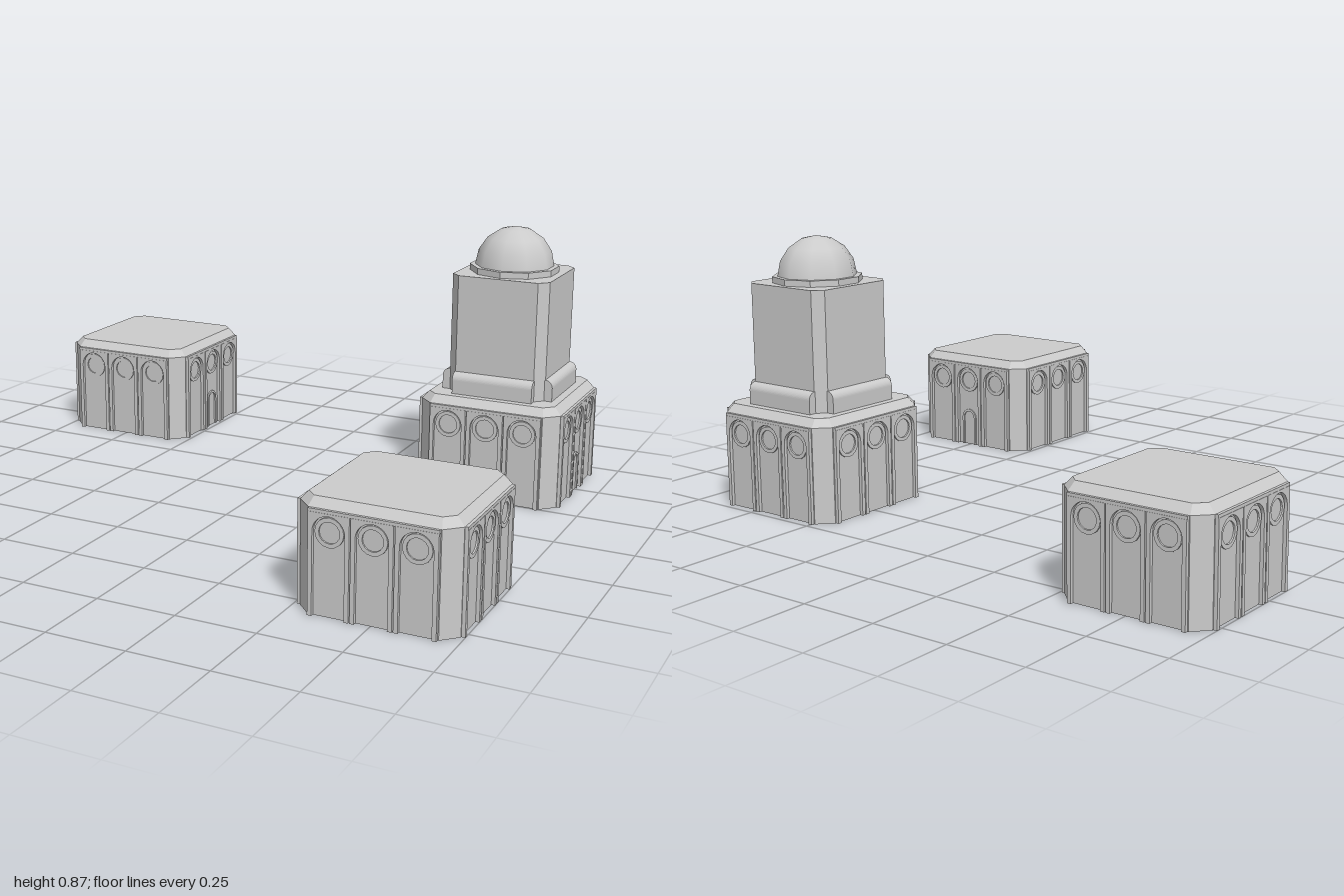
import * as THREE from 'three';
import { ConvexGeometry } from 'three/addons/geometries/ConvexGeometry.js';

const grey = new THREE.MeshStandardMaterial({ color: 0xcccccc });

function add(parent, name, geometry, x = 0, y = 0, z = 0) {
  const mesh = new THREE.Mesh(geometry, grey);
  mesh.name = name;
  mesh.position.set(x, y, z);
  parent.add(mesh);
  return mesh;
}

// Square block with cut corners; each level is [y, half width, corner cut]
function cutBlock(...levels) {
  const points = [];
  for (const [y, h, c] of levels)
    for (const sx of [-1, 1])
      for (const sz of [-1, 1])
        points.push(new THREE.Vector3(sx * h, y, sz * (h - c)), new THREE.Vector3(sx * (h - c), y, sz * h));
  return new ConvexGeometry(points);
}

// Upright frame around a round-headed opening that reaches the ground
function archFrame(halfOpen, spring, outline, depth) {
  const s = new THREE.Shape();
  outline(s);
  s.lineTo(halfOpen, 0);
  s.lineTo(halfOpen, spring);
  s.absarc(0, spring, halfOpen, 0, Math.PI, false);
  s.lineTo(-halfOpen, 0);
  s.closePath();
  return new THREE.ExtrudeGeometry(s, { depth, bevelEnabled: false, curveSegments: 8 });
}

const BAY = 0.126;
const bayGeometry = archFrame(0.048, 0.245, s => {
  s.moveTo(-0.061, 0);
  s.lineTo(-0.061, 0.3);
  s.lineTo(0.061, 0.3);
  s.lineTo(0.061, 0);
}, 0.012);

const doorGeometry = archFrame(0.023, 0.103, s => {
  s.moveTo(-0.031, 0);
  s.lineTo(-0.031, 0.103);
  s.absarc(0, 0.103, 0.031, Math.PI, 0, true);
  s.lineTo(0.031, 0);
}, 0.006);

// Round window surround
const ringShape = new THREE.Shape().absarc(0, 0, 0.043, 0, Math.PI * 2, false);
ringShape.holes.push(new THREE.Path().absarc(0, 0, 0.031, 0, Math.PI * 2, true));
const ringGeometry = new THREE.ExtrudeGeometry(ringShape, { depth: 0.006, bevelEnabled: false, curveSegments: 8 });

// One facade of three arched bays, facing +z
function facade(hasDoor) {
  const g = new THREE.Group();
  g.name = 'facade';
  for (const i of [-1, 0, 1]) {
    add(g, 'archedBay', bayGeometry, i * BAY, 0, 0.234);
    add(g, 'roundWindow', ringGeometry, i * BAY, 0.245, 0.234);
  }
  add(g, 'cornice', new THREE.BoxGeometry(0.376, 0.01, 0.012), 0, 0.304, 0.239);
  if (hasDoor) add(g, 'doorFrame', doorGeometry, 0, 0, 0.234);
  return g;
}

// Hall with its door on +x
function hall() {
  const g = new THREE.Group();
  g.name = 'hall';
  add(g, 'walls', cutBlock([0, 0.235, 0.045], [0.31, 0.235, 0.045]));
  add(g, 'roof', cutBlock([0.309, 0.236, 0.045], [0.335, 0.213, 0.03]));
  for (let i = 0; i < 4; i++) {
    const f = facade(i === 1);
    f.rotation.y = i * Math.PI / 2;
    g.add(f);
  }
  return g;
}

// Domed tower that stands on a hall roof
function tower() {
  const g = new THREE.Group();
  g.name = 'tower';
  add(g, 'shaft', cutBlock([0.33, 0.163, 0.03], [0.725, 0.163, 0.03]));

  // Round-shouldered skirting on each side of the shaft
  const profile = new THREE.Shape();
  profile.moveTo(0.15, 0.33);
  profile.lineTo(0.187, 0.33);
  profile.lineTo(0.187, 0.38);
  profile.absarc(0.162, 0.38, 0.025, 0, Math.PI / 2, false);
  profile.lineTo(0.15, 0.405);
  profile.closePath();
  const skirting = new THREE.ExtrudeGeometry(profile, { depth: 0.27, bevelEnabled: false, curveSegments: 5 });
  skirting.translate(0, 0, -0.135);
  for (let i = 0; i < 4; i++) add(g, 'skirting', skirting).rotation.y = i * Math.PI / 2;

  const drum = new THREE.CylinderGeometry(0.145, 0.145, 0.024, 10).toNonIndexed();
  drum.computeVertexNormals();
  add(g, 'domeBase', drum, 0, 0.733, 0);
  const dome = [];
  for (let i = 0; i <= 4; i++) {
    const a = i * Math.PI / 8;
    dome.push(new THREE.Vector2(i === 4 ? 0 : 0.128 * Math.cos(a), 0.128 * Math.sin(a)));
  }
  add(g, 'dome', new THREE.LatheGeometry(dome, 10), 0, 0.745, 0);
  return g;
}

export function createModel() {
  const model = new THREE.Group();
  model.name = 'courtBuildings';

  const rightHall = hall();
  rightHall.position.set(-0.754, 0, -0.587);

  const frontHall = hall();
  frontHall.position.set(0.754, 0, 0.587);
  frontHall.rotation.y = Math.PI / 2;

  const towerHall = hall();
  towerHall.name = 'towerHall';
  towerHall.position.set(0.682, 0, -0.487);
  towerHall.add(tower());

  model.add(rightHall, frontHall, towerHall);
  return model;
}
